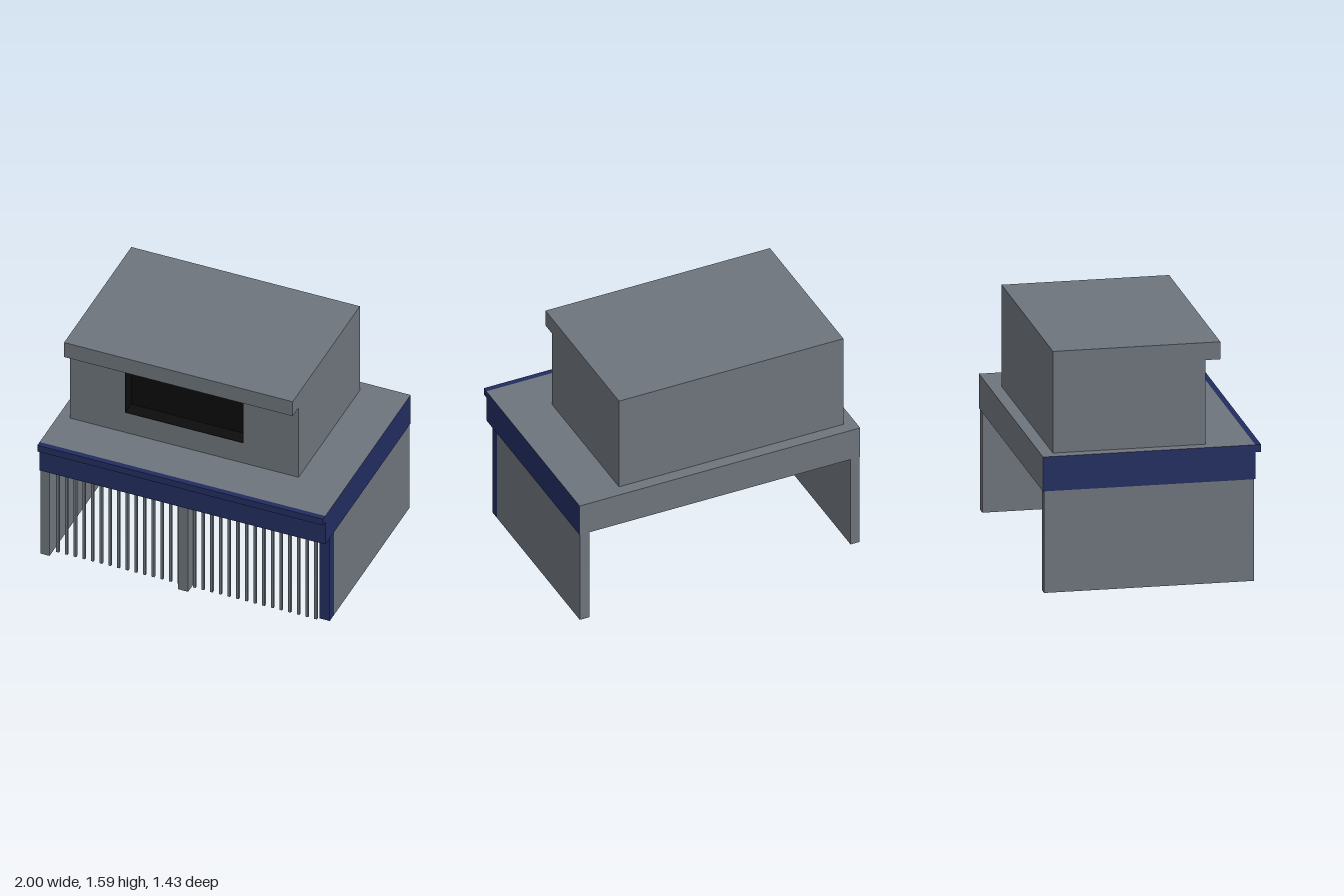
import * as THREE from 'three';

const grey = new THREE.MeshStandardMaterial({ color: 0x6e747c });
const blue = new THREE.MeshStandardMaterial({ color: 0x222d60 });
const black = new THREE.MeshStandardMaterial({ color: 0x0c0c0c });

// Box given by its extents along each axis
function box(name, [x0, x1], [y0, y1], [z0, z1], material) {
  const mesh = new THREE.Mesh(new THREE.BoxGeometry(x1 - x0, y1 - y0, z1 - z0), material);
  mesh.position.set((x0 + x1) / 2, (y0 + y1) / 2, (z0 + z1) / 2);
  mesh.name = name;
  return mesh;
}

function rectangle(Type, [x0, x1], [y0, y1]) {
  return new Type([[x0, y0], [x1, y0], [x1, y1], [x0, y1]].map(([x, y]) => new THREE.Vector2(x, y)));
}

// Rectangular panel with a rectangular opening, extruded along z
function frame(name, outerX, outerY, innerX, innerY, [z0, z1], material) {
  const shape = rectangle(THREE.Shape, outerX, outerY);
  shape.holes.push(rectangle(THREE.Path, innerX, innerY));
  const geometry = new THREE.ExtrudeGeometry(shape, { depth: z1 - z0, bevelEnabled: false });
  const mesh = new THREE.Mesh(geometry, material);
  mesh.position.z = z0;
  mesh.name = name;
  return mesh;
}

export function createModel() {
  const model = new THREE.Group();
  model.name = 'house';

  // Ground floor: side walls, corner post and middle post
  const storey = [0, 0.68];
  model.add(
    box('rightWall', [-1, -0.935], storey, [-0.71, 0.67], grey),
    box('leftWall', [0.925, 0.995], storey, [-0.71, 0.53], grey),
    box('cornerPost', [0.925, 0.995], storey, [0.53, 0.597], blue),
    box('middlePost', [-0.035, 0.035], storey, [0.55, 0.67], grey)
  );

  // Row of slim bars on each side of the middle post
  const bars = new THREE.Group();
  bars.name = 'barScreen';
  for (const side of [-1, 1]) {
    for (let i = 0; i < 15; i++) {
      const x = side * (0.053 + i * 0.0607);
      bars.add(box('bar', [x - 0.009, x + 0.009], storey, [0.597, 0.615], grey));
    }
  }
  model.add(bars);

  // First-floor slab with blue faces, grey top and back, and a front lip
  model.add(
    box('slab', [-1, 1], [0.68, 0.91], [-0.717, 0.68], [blue, blue, grey, blue, blue, grey]),
    box('slabLip', [-1, 1], [0.86, 0.91], [0.68, 0.718], blue)
  );

  // Upper storey with a recessed window and a roof overhang
  const width = [-0.92, 0.68], height = [0.91, 1.59];
  const winX = [-0.535, 0.295], winY = [1.07, 1.41];
  const inset = 0.003;
  model.add(
    box('upperBody', width, height, [-0.635, 0.27], grey),
    frame('upperFront', width, height, winX, winY, [0.27, 0.37], grey),
    frame('windowReveal', winX, winY,
      [winX[0] + inset, winX[1] - inset], [winY[0] + inset, winY[1] - inset], [0.27, 0.37], black),
    box('windowPane', winX, winY, [0.27, 0.275], black),
    box('roofOverhang', width, [1.473, 1.59], [0.37, 0.467], grey)
  );

  return model;
}
